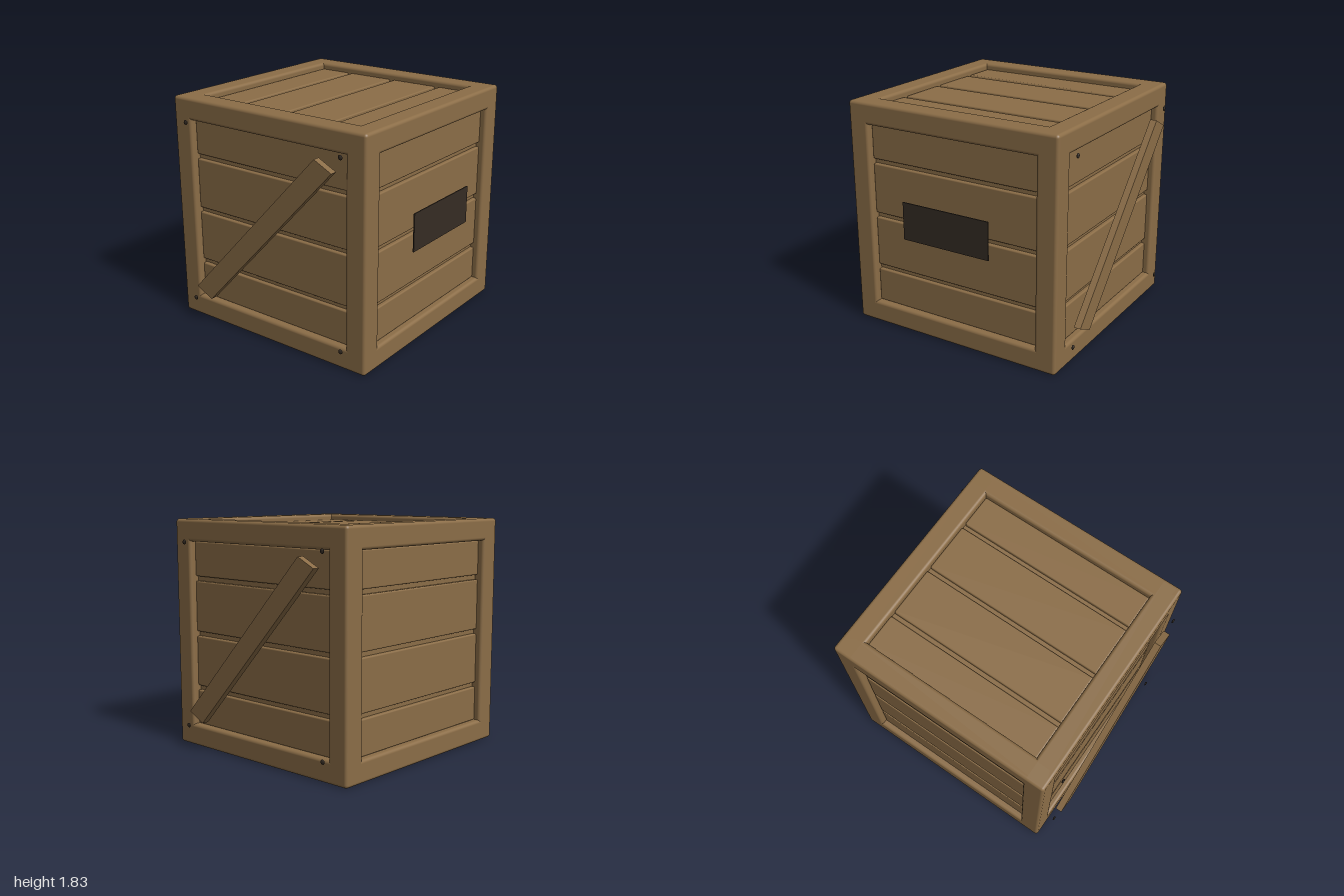
import * as THREE from 'three';
import { RoundedBoxGeometry } from 'three/addons/geometries/RoundedBoxGeometry.js';

const HALF = 0.917;      // half the crate's edge
const OPEN = 0.742;      // half the opening inside the frame
const RECESS = 0.05;     // planks sit this far behind the frame face
const GAP = 0.038;       // groove between planks

export function createModel() {
  const wood = new THREE.MeshStandardMaterial({ color: 0x8b6d47 });
  wood.name = 'wood';
  const dark = new THREE.MeshStandardMaterial({ color: 0x352c24 });
  dark.name = 'darkMetal';

  const model = new THREE.Group();
  model.name = 'crate';
  const crate = new THREE.Group();
  crate.name = 'crateBody';
  crate.position.set(-0.03, HALF, 0);
  model.add(crate);

  const add = (parent, name, geometry, material, x = 0, y = 0, z = 0) => {
    const mesh = new THREE.Mesh(geometry, material);
    mesh.name = name;
    mesh.position.set(x, y, z);
    parent.add(mesh);
    return mesh;
  };

  // Core: the floor of the grooves
  const core = 2 * (HALF - RECESS - 0.03);
  add(crate, 'core', new THREE.BoxGeometry(core, core, core), wood);

  // Frame: twelve rounded beams along the edges
  const beamWidth = HALF - OPEN;
  const off = HALF - beamWidth / 2;
  for (const a of [-off, off]) {
    for (const b of [-off, off]) {
      const beam = (w, h, d) => new RoundedBoxGeometry(w, h, d, 3, 0.025);
      add(crate, 'frameBeamX', beam(2 * HALF, beamWidth, beamWidth), wood, 0, a, b);
      add(crate, 'frameBeamY', beam(beamWidth, 2 * HALF, beamWidth), wood, a, 0, b);
      add(crate, 'frameBeamZ', beam(beamWidth, beamWidth, 2 * HALF), wood, a, b, 0);
    }
  }

  // Four planks on one face; built facing +z with the planks lying along x
  const cuts = [-OPEN - GAP / 2, -0.445, 0, 0.445, OPEN + GAP / 2];
  const plankPanel = (name, rx, ry, rz) => {
    const panel = new THREE.Group();
    panel.name = name;
    for (let i = 0; i < 4; i++) {
      const height = cuts[i + 1] - cuts[i] - GAP;
      add(panel, 'plank', new RoundedBoxGeometry(2 * OPEN, height, 0.08, 2, 0.012), wood,
        0, (cuts[i] + cuts[i + 1]) / 2, HALF - RECESS - 0.04);
    }
    panel.rotation.set(rx, ry, rz);
    crate.add(panel);
  };
  const q = Math.PI / 2;
  plankPanel('frontPlanks', 0, 0, 0);
  plankPanel('backPlanks', 0, Math.PI, 0);
  plankPanel('leftPlanks', 0, q, 0);
  plankPanel('rightPlanks', 0, -q, 0);
  plankPanel('topPlanks', -q, 0, q);
  plankPanel('bottomPlanks', q, 0, q);

  // Diagonal brace and corner nails, on front and back
  const outline = new THREE.Shape([
    [-0.685, -0.608], [-0.533, -0.683], [0.685, 0.608 + 0.011], [0.533, 0.694],
  ].map(([x, y]) => new THREE.Vector2(x, y)));
  const braceGeometry = new THREE.ExtrudeGeometry(outline, { depth: 0.055, bevelEnabled: false });
  const nailGeometry = new THREE.SphereGeometry(0.019, 10, 8);
  nailGeometry.scale(1, 1, 0.42);
  for (const side of ['front', 'back']) {
    const fittings = new THREE.Group();
    fittings.name = side + 'Fittings';
    fittings.rotation.y = side === 'front' ? 0 : Math.PI;
    add(fittings, 'diagonalBrace', braceGeometry, wood, 0, 0, 0.945);
    for (const x of [-0.74, 0.74]) {
      for (const y of [-0.74, 0.74]) add(fittings, 'cornerNail', nailGeometry, dark, x, y, 0.972);
    }
    crate.add(fittings);
  }

  // Dark plate on the left side
  add(model, 'sidePlate', new THREE.BoxGeometry(0.009, 0.304, 0.768), dark, 0.939, 0.973, 0);

  return model;
}
